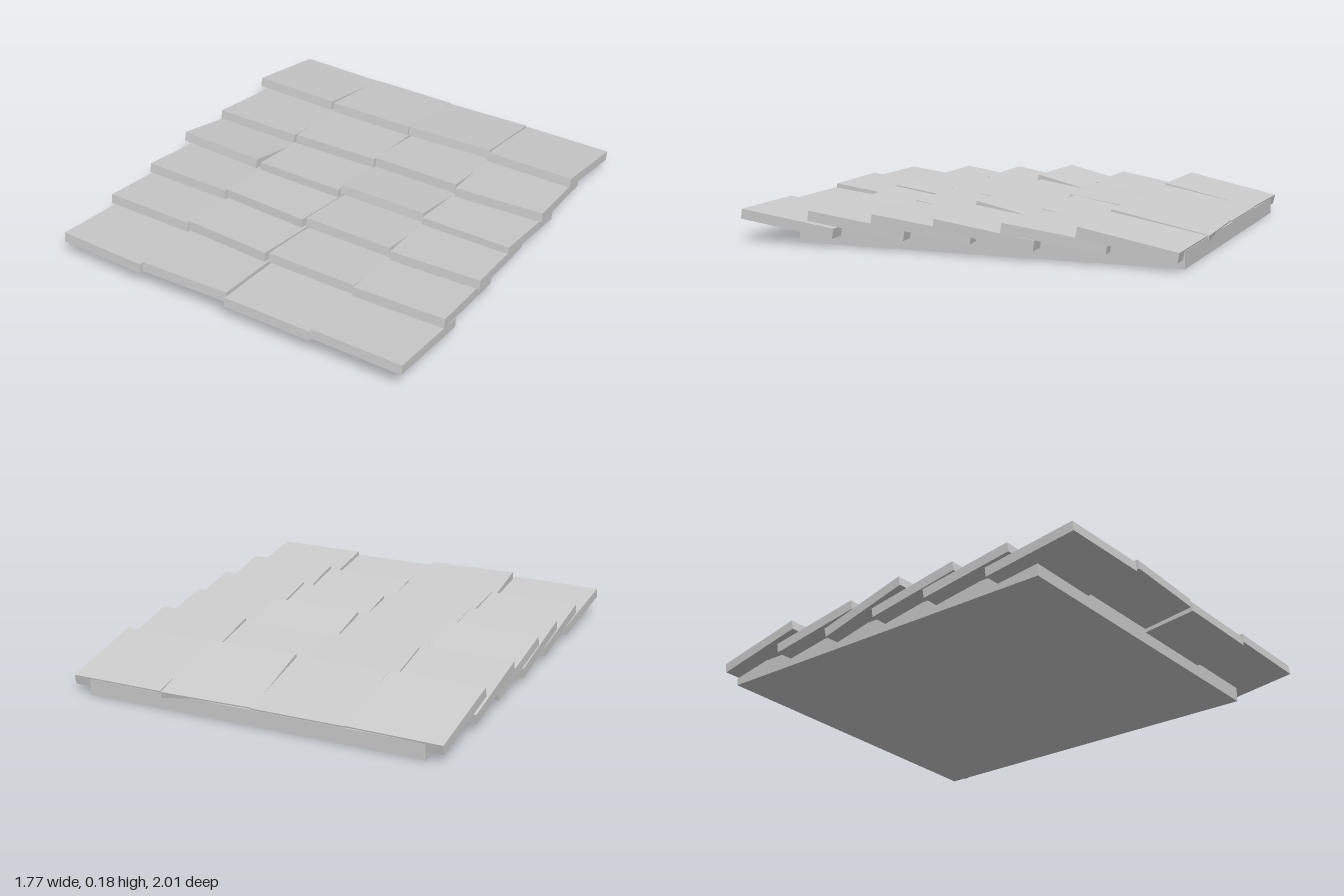
import * as THREE from 'three';

const THICK = 0.045, WIDTH = 0.436;

// One row per course, front to back; one entry per column:
// [z of front edge at its -x end, z at its +x end, top height at front, top height at back]
const COURSES = [
  [[0.985, 0.995, 0.13, 0.075], [0.995, 0.98, 0.15, 0.085], [0.99, 0.99, 0.13, 0.075], [0.99, 0.99, 0.147, 0.085]],
  [[0.655, 0.655, 0.15, 0.08], [0.645, 0.665, 0.155, 0.095], [0.65, 0.65, 0.15, 0.08], [0.67, 0.655, 0.158, 0.095]],
  [[0.365, 0.365, 0.16, 0.08], [0.35, 0.37, 0.158, 0.095], [0.35, 0.35, 0.16, 0.08], [0.37, 0.35, 0.16, 0.1]],
  [[0.075, 0.095, 0.18, 0.075], [0.08, 0.08, 0.158, 0.09], [0.055, 0.055, 0.172, 0.075], [0.065, 0.065, 0.155, 0.09]],
  [[-0.21, -0.21, 0.16, 0.08], [-0.22, -0.23, 0.158, 0.09], [-0.25, -0.25, 0.155, 0.08], [-0.22, -0.245, 0.158, 0.095]],
  [[-0.57, -0.56, 0.17, 0.08], [-0.565, -0.565, 0.162, 0.08], [-0.56, -0.575, 0.17, 0.08], [-0.57, -0.57, 0.16, 0.08]],
];

export function createModel() {
  const model = new THREE.Group();
  const material = new THREE.MeshStandardMaterial({ color: 0xcccccc, flatShading: true });

  // Flat deck that carries the shingles
  const deck = new THREE.Mesh(new THREE.BoxGeometry(1.585, 0.073, 1.748), material);
  deck.name = 'deck';
  deck.position.set(0, 0.0365, -0.125);
  model.add(deck);

  // Overlapping shingles, each tilted and slightly turned
  COURSES.forEach((course, row) => {
    const group = new THREE.Group();
    group.name = `shingleCourse${row + 1}`;
    course.forEach(([zLeft, zRight, front, back], col) => {
      const zFront = (zLeft + zRight) / 2;
      const run = row === 5 ? zFront + 0.998 : 0.45;
      const tilt = Math.atan2(front - back, run);
      const geometry = new THREE.BoxGeometry(WIDTH, THICK, Math.hypot(run, front - back));
      geometry.translate(0, -THICK / 2, 0);
      const shingle = new THREE.Mesh(geometry, material);
      shingle.name = 'shingle';
      shingle.rotation.order = 'YXZ';
      shingle.rotation.set(-tilt, -Math.atan2(zRight - zLeft, WIDTH), 0);
      shingle.position.set((col - 1.5) * 0.4375, (front + back) / 2, zFront - run / 2);
      group.add(shingle);
    });
    model.add(group);
  });
  return model;
}
